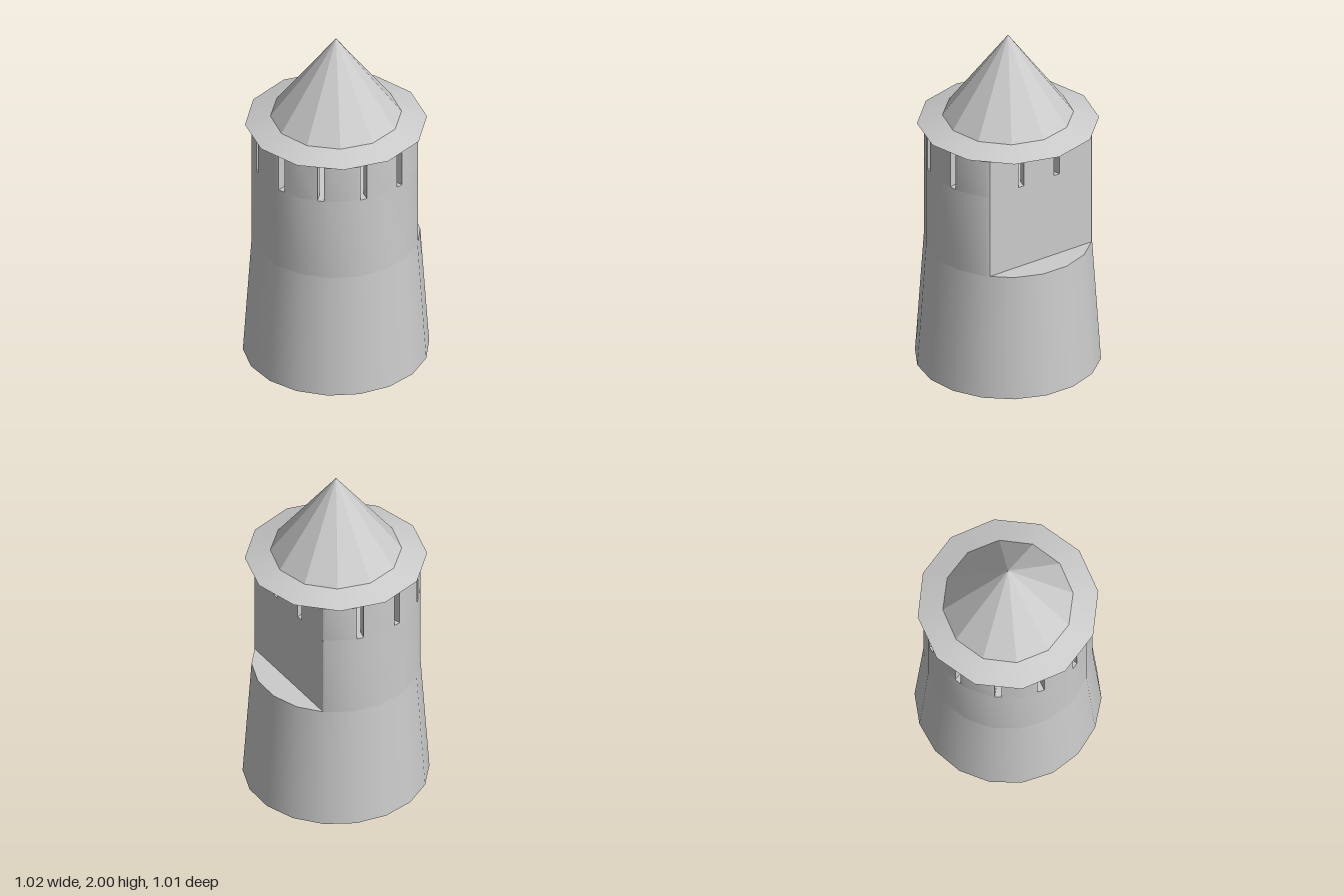
import * as THREE from 'three';
import { toCreasedNormals } from 'three/addons/utils/BufferGeometryUtils.js';

const rad = THREE.MathUtils.degToRad;
const SIDES = 18, STEP = 360 / SIDES, PHASE = 1;
const RADIUS = 0.463, THICK = 0.05, BACK = -0.31;
const LEDGE = 0.735, DECK = 1.23, WALL_TOP = 1.455;

// distance to the edge of the 18-sided plan at an angle (from +x towards +z)
function planRadius(r, deg) {
  const t = ((((deg - PHASE) % STEP) + STEP) % STEP) - STEP / 2;
  return r * Math.cos(rad(STEP / 2)) / Math.cos(rad(t));
}

// points along the plan from a0 to a1, cut straight at z = back
function planArc(r, back, a0, a1) {
  let c = -40;
  for (let i = 0; i < 12; i++) c = THREE.MathUtils.radToDeg(Math.asin(back / planRadius(r, c)));
  const stops = [a0, a1];
  for (let k = -SIDES; k <= 2 * SIDES; k++) stops.push(PHASE + k * STEP);
  for (const turn of [-360, 0, 360]) stops.push(c + turn, 180 - c + turn);
  return stops
    .filter((a) => a >= a0 && a <= a1)
    .sort((a, b) => a - b)
    .map((a) => {
      const p = planRadius(r, a);
      return new THREE.Vector2(p * Math.cos(rad(a)), Math.max(back, p * Math.sin(rad(a))));
    });
}

// upright prism from a plan outline, smooth round the curve and sharp at corners
function prism(points, y0, y1) {
  const geo = new THREE.ExtrudeGeometry(new THREE.Shape(points), { depth: y1 - y0, bevelEnabled: false });
  geo.rotateX(Math.PI / 2).translate(0, y1, 0);
  return toCreasedNormals(geo, 0.5);
}

export function createModel() {
  const model = new THREE.Group();
  model.name = 'tower';
  const stone = new THREE.MeshStandardMaterial({ color: 0xcccccc, side: THREE.DoubleSide });
  const roofMat = new THREE.MeshStandardMaterial({ color: 0xcccccc, flatShading: true });

  const add = (name, geo, mat, y = 0, turn = 0, parent = model) => {
    const mesh = new THREE.Mesh(geo, mat);
    mesh.name = name;
    mesh.position.y = y;
    mesh.rotation.y = rad(turn);
    parent.add(mesh);
    return mesh;
  };

  // tapered hollow base, open below, with the ledge on top
  add('base', new THREE.CylinderGeometry(RADIUS, 0.512, LEDGE, SIDES, 1, true), stone, LEDGE / 2, 9);
  add('ledge', new THREE.CircleGeometry(RADIUS, SIDES).rotateX(-Math.PI / 2), stone, LEDGE, -PHASE);

  // upper body with a flat back
  add('upperBody', prism(planArc(RADIUS, BACK, 0, 359.9), LEDGE, DECK), stone);

  // parapet blocks separated by narrow slots
  const parapet = new THREE.Group();
  parapet.name = 'parapet';
  model.add(parapet);
  const slots = [-73.5, -13.5, 16.5, 46.5, 76.5, 106.5, 136.5, 166.5, 196.5, 256.5];
  const gap = 2.4;
  slots.forEach((slot, i) => {
    const a0 = slot + gap;
    const a1 = (i + 1 < slots.length ? slots[i + 1] : slots[0] + 360) - gap;
    const outer = planArc(RADIUS, BACK, a0, a1);
    const inner = planArc(RADIUS - THICK, BACK + THICK, a0, a1).reverse();
    if (a1 - a0 > 1) add('parapetBlock', prism([...outer, ...inner], DECK, WALL_TOP), stone, 0, 0, parapet);
  });

  // roof: shallow smooth eave and steep faceted cone
  add('eave', new THREE.CylinderGeometry(0.36, 0.5, 0.045, 12), stone, 1.4875, -1);
  add('roofCone', new THREE.ConeGeometry(0.36, 0.49, 12), roofMat, 1.755, -2);

  return model;
}
